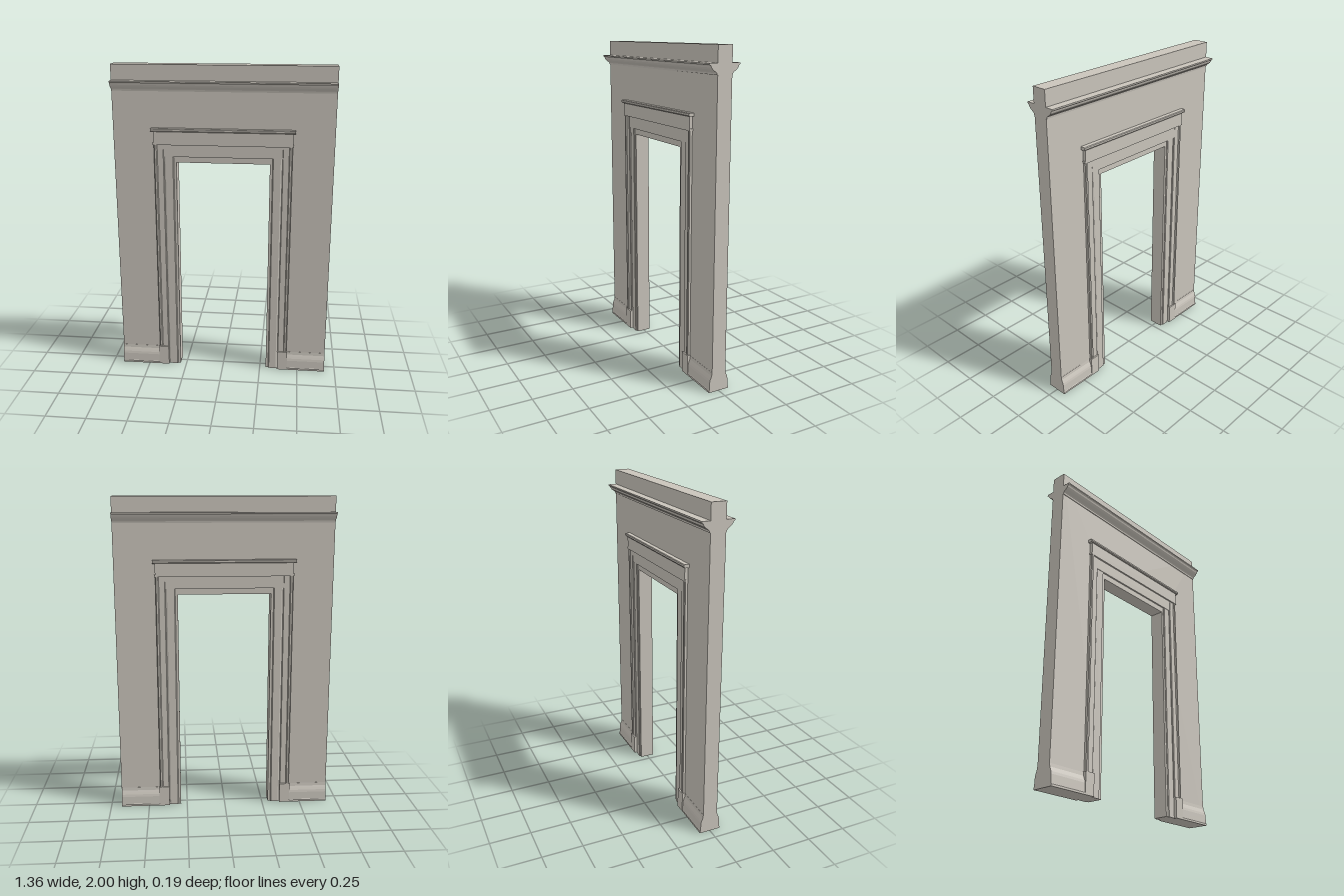
import * as THREE from 'three';

const stone = new THREE.MeshStandardMaterial({ color: 0xc9c4bb });
stone.name = 'warm grey plaster';

const WALL = 0.046; // half thickness of the wall

function add(parent, name, geometry) {
  const mesh = new THREE.Mesh(geometry, stone);
  mesh.name = name;
  parent.add(mesh);
  return mesh;
}

// Box given by its limits; the back is sunk slightly into the wall
function slab(parent, name, x0, x1, y0, y1, zFront) {
  const zBack = WALL - 0.006;
  const g = new THREE.BoxGeometry(x1 - x0, y1 - y0, zFront - zBack);
  g.translate((x0 + x1) / 2, (y0 + y1) / 2, (zFront + zBack) / 2);
  return add(parent, name, g);
}

// Profile of [z, y] points (counter-clockwise) drawn out along x
function moulding(parent, name, points, x0, x1) {
  const shape = new THREE.Shape(points.map(([z, y]) => new THREE.Vector2(z, y)));
  const g = new THREE.ExtrudeGeometry(shape, { depth: x1 - x0, bevelEnabled: false });
  g.rotateY(-Math.PI / 2).translate(x1, 0, 0);
  return add(parent, name, g);
}

// Profile of [x, z] points drawn out upwards
function upright(parent, name, points, y0, y1) {
  const shape = new THREE.Shape(points.map(([x, z]) => new THREE.Vector2(x, -z)));
  const g = new THREE.ExtrudeGeometry(shape, { depth: y1 - y0, bevelEnabled: false });
  g.rotateX(-Math.PI / 2).translate(0, y0, 0);
  return add(parent, name, g);
}

// All trim on one face of the wall
function createTrim() {
  const trim = new THREE.Group();
  const back = WALL - 0.006;

  // Cornice
  moulding(trim, 'cornice', [
    [back, 1.842], [0.05, 1.842], [0.052, 1.852], [0.058, 1.858], [0.064, 1.862],
    [0.076, 1.871], [0.085, 1.882], [0.088, 1.89], [0.097, 1.897], [0.097, 1.905], [back, 1.905],
  ], -0.68, 0.68);

  // Door header and its cap
  slab(trim, 'headerLip', -0.432, 0.432, 1.517, 1.53, 0.066);
  slab(trim, 'headerBoard', -0.428, 0.428, 1.53, 1.602, 0.066);
  moulding(trim, 'headerCap', [
    [back, 1.6], [0.072, 1.6], [0.077, 1.606], [0.077, 1.616], [0.073, 1.62], [back, 1.62],
  ], -0.443, 0.443);
  slab(trim, 'headCasing', -0.37, 0.37, 1.442, 1.517, 0.056);

  for (const s of [-1, 1]) {
    const span = (a, b) => (s > 0 ? [a, b] : [-b, -a]);
    const mirror = (pts) => (s > 0 ? pts : pts.map(([x, z]) => [-x, z]).reverse());

    // Side casing with a raised outer band
    upright(trim, 'sideCasing', mirror([
      [0.427, back], [0.366, back], [0.366, 0.054], [0.37, 0.057], [0.406, 0.057],
      [0.411, 0.064], [0.422, 0.064], [0.427, 0.06],
    ]), 0.12, 1.52);
    slab(trim, 'plinthBlock', ...span(0.366, 0.432), 0, 0.13, 0.067);

    // Raised strip on the jamb
    upright(trim, 'jambStrip', mirror([
      [0.366, back], [0.306, back], [0.306, 0.048], [0.311, 0.053], [0.356, 0.053], [0.366, 0.048],
    ]), 0, 1.442);

    // Baseboard
    moulding(trim, 'baseboard', [
      [back, 0], [0.067, 0], [0.067, 0.012], [0.064, 0.016], [0.062, 0.065],
      [0.059, 0.08], [0.054, 0.093], [0.049, 0.105], [0.047, 0.125], [back, 0.125],
    ], ...span(0.43, 0.68));
  }
  return trim;
}

export function createModel() {
  const model = new THREE.Group();
  model.name = 'doorwayWall';

  // Wall with a door opening
  const outline = new THREE.Shape([
    [-0.68, 0], [-0.29, 0], [-0.29, 1.405], [0.29, 1.405],
    [0.29, 0], [0.68, 0], [0.68, 2], [-0.68, 2],
  ].map(([x, y]) => new THREE.Vector2(x, y)));
  const wall = new THREE.ExtrudeGeometry(outline, { depth: 2 * WALL, bevelEnabled: false });
  add(model, 'wall', wall.translate(0, 0, -WALL));

  // The same trim on both faces
  const front = createTrim();
  front.name = 'frontTrim';
  const rear = createTrim();
  rear.name = 'backTrim';
  rear.rotation.y = Math.PI;
  model.add(front, rear);
  return model;
}
